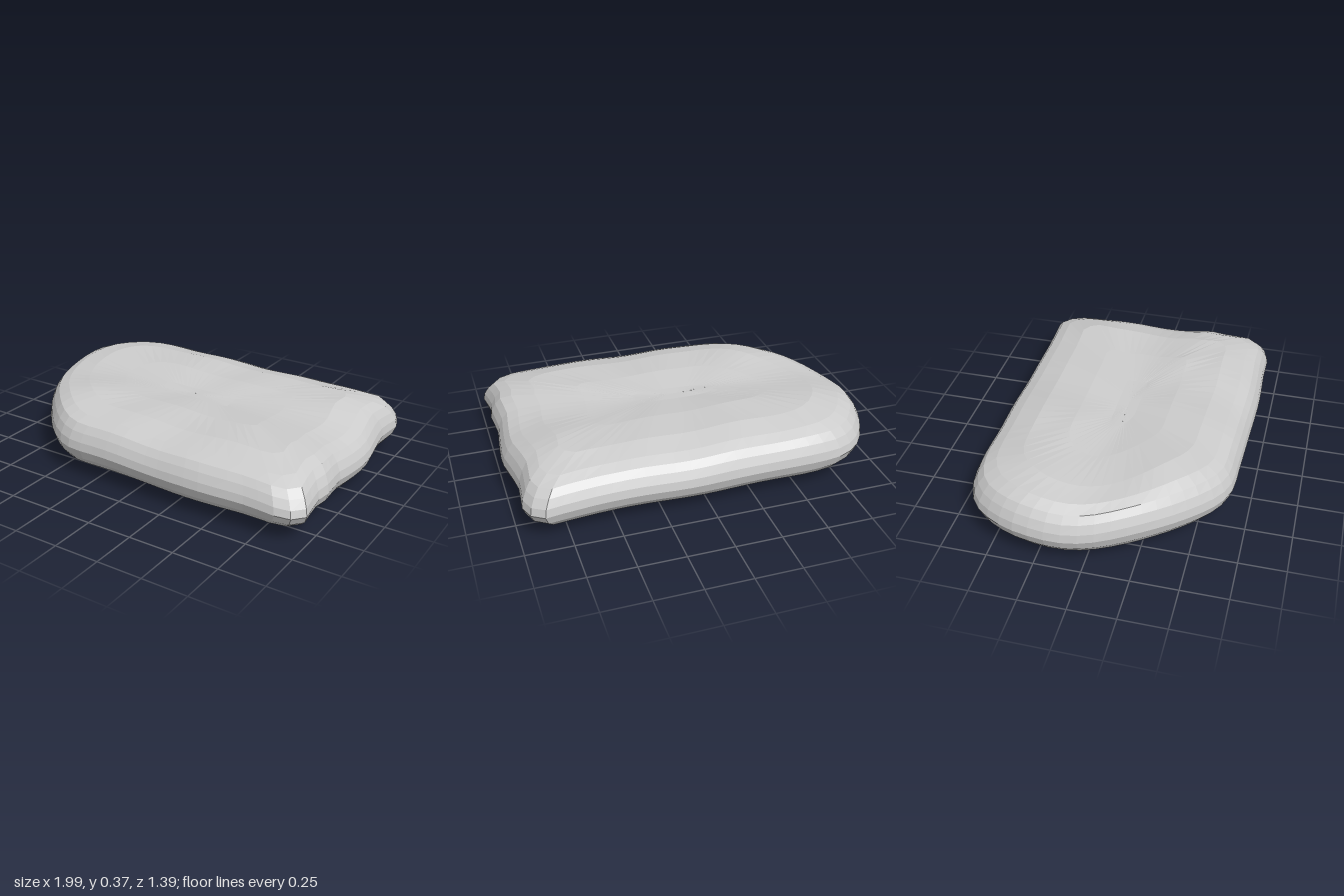
import * as THREE from 'three';

// Plan outline as [x, z], starting at the rounded end and running along the back edge
const OUTLINE = [
  [-1, -0.19], [-0.98, -0.36], [-0.92, -0.5], [-0.84, -0.6], [-0.73, -0.66], [-0.58, -0.68],
  [-0.3, -0.68], [0, -0.685], [0.3, -0.68], [0.6, -0.68], [0.8, -0.69], [0.9, -0.69],
  [0.965, -0.59], [0.955, -0.42], [0.975, -0.27], [0.995, -0.13], [0.985, 0.05], [0.97, 0.2],
  [0.985, 0.33], [0.97, 0.46], [0.99, 0.6], [0.92, 0.67], [0.7, 0.68], [0.4, 0.69],
  [0.1, 0.68], [-0.2, 0.67], [-0.42, 0.655], [-0.55, 0.59], [-0.71, 0.44], [-0.84, 0.27],
  [-0.94, 0.08], [-0.985, -0.06],
];

// Rounded rim from underside to top: [inset, height fraction]
const RIM = [
  [0.24, 0], [0.15, 0.03], [0.09, 0.09], [0.05, 0.17], [0.018, 0.3], [0, 0.47],
  [0.008, 0.62], [0.03, 0.77], [0.06, 0.89], [0.12, 0.96], [0.24, 1],
];

// Gently rippled top, falling toward the cut end
function topHeight(x, z) {
  const drop = THREE.MathUtils.smoothstep(x, 0.55, 1.05);
  return 0.352 - 0.014 * Math.cos(z * 9.5) - 0.008 * Math.sin(x * 4 + 0.4)
    - 0.055 * drop + 0.004 * Math.sin(x * 13 + z * 5) - 0.012 * Math.max(0, z);
}

// Nearly flat underside that lifts a little at the rounded end
function bottomHeight(x, z) {
  const lift = THREE.MathUtils.smoothstep(-x, 0.5, 1);
  return 0.014 + 0.025 * lift + 0.018 * THREE.MathUtils.smoothstep(Math.abs(z), 0.4, 0.7)
    - 0.006 * Math.cos(z * 7) + 0.004 * Math.sin(x * 8 + z * 3);
}

function slabGeometry() {
  const n = 72;
  const curve = new THREE.CatmullRomCurve3(
    OUTLINE.map(([x, z]) => new THREE.Vector3(x, 0, z)), true, 'centripetal');
  const outline = curve.getSpacedPoints(n).slice(0, n);

  // Cap rings continue the rim inward to the middle of each face
  const inner = [0.4, 0.58, 0.76, 0.9, 1];
  const rings = [
    ...inner.slice().reverse().map((s) => [s, 0]),
    ...RIM,
    ...inner.map((s) => [s, 1]),
  ];

  const positions = [];
  for (const [inset, f] of rings) {
    for (const p of outline) {
      // Small insets are the same distance on all edges; larger ones close to the centre
      const t = THREE.MathUtils.smoothstep(inset, 0.2, 1);
      const sx = 1 - THREE.MathUtils.lerp(inset, 1, t);
      const sz = 1 - THREE.MathUtils.lerp(Math.min(1, inset / 0.69), 1, t);
      const x = p.x * sx, z = p.z * sz;
      const y = THREE.MathUtils.lerp(bottomHeight(x, z), topHeight(x, z), f);
      positions.push(x, y, z);
    }
  }

  const index = [];
  for (let r = 0; r < rings.length - 1; r++) {
    for (let i = 0; i < n; i++) {
      const a = r * n + i, b = r * n + (i + 1) % n, c = a + n, d = b + n;
      if (r > 0) index.push(a, c, b);
      if (r < rings.length - 2) index.push(b, c, d);
      else if (r === 0) index.push(b, c, d);
    }
  }
  // The underside centre ring is collapsed, so its triangles come from the outer side only
  const g = new THREE.BufferGeometry();
  g.setAttribute('position', new THREE.Float32BufferAttribute(positions, 3));
  g.setIndex(index);
  const flat = g.toNonIndexed();
  flat.computeVertexNormals();
  return flat;
}

export function createModel() {
  const group = new THREE.Group();
  group.name = 'slab';
  const material = new THREE.MeshStandardMaterial({ color: 0xcccccc, flatShading: true });
  const slab = new THREE.Mesh(slabGeometry(), material);
  slab.name = 'slabBody';
  group.add(slab);
  return group;
}
